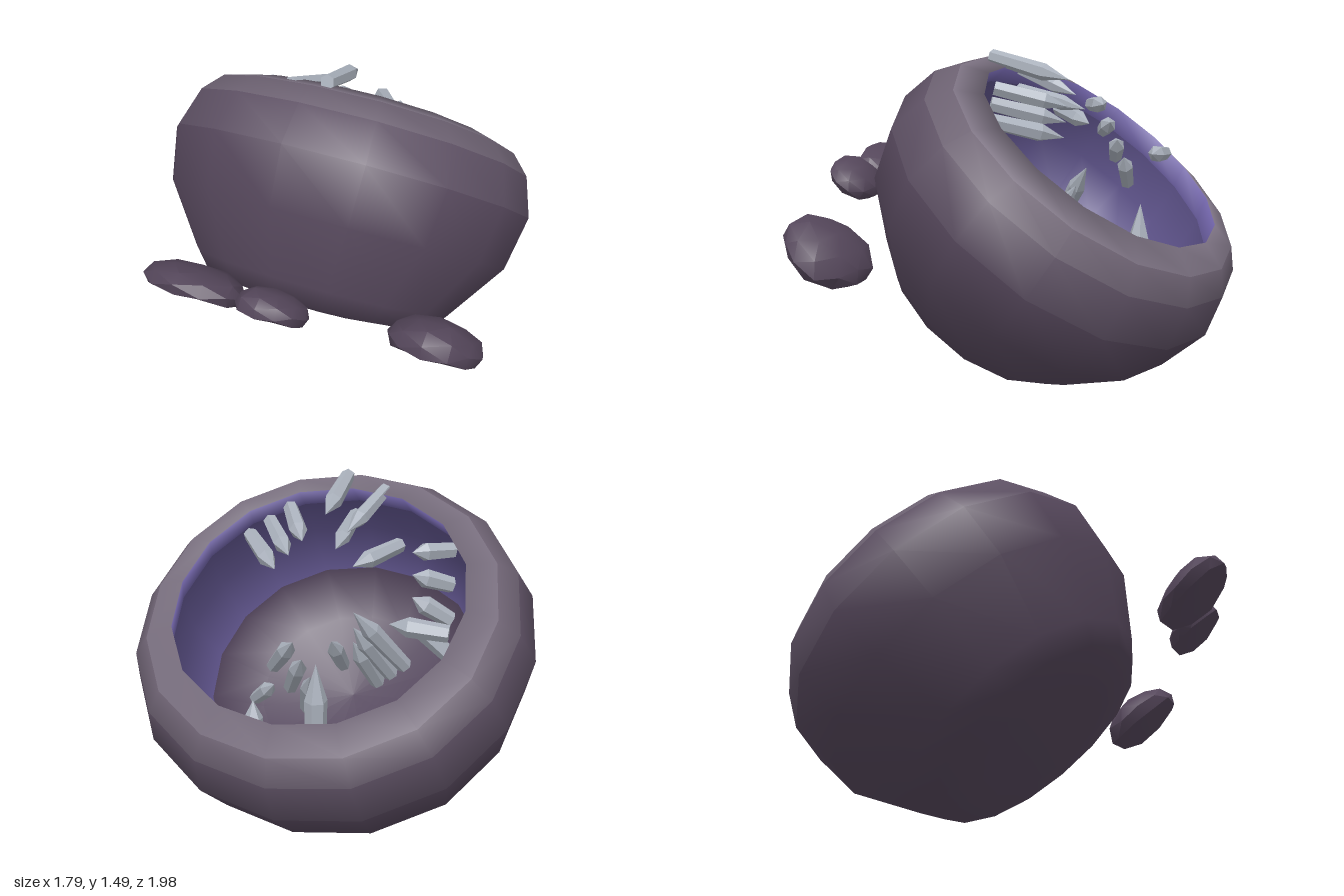
import * as THREE from 'three';
import { toCreasedNormals } from 'three/addons/utils/BufferGeometryUtils.js';

const mat = (color, extra = {}) => {
  const m = new THREE.MeshStandardMaterial(extra);
  m.color.set(color);
  return m;
};

// Bowl profile: outside from the flat bottom up to the rim, then down the hollow
const PROFILE = [
  [0, 0.13], [0.32, 0.13], [0.54, 0.165], [0.61, 0.25], [0.8, 0.53], [0.845, 0.78],
  [0.79, 0.96], [0.71, 1.05], [0.59, 1.09],
  [0.63, 0.97], [0.67, 0.74], [0.61, 0.5], [0.42, 0.33], [0, 0.27],
].map(([r, y]) => new THREE.Vector2(r, y));

function bowlPart(name, from, to, material) {
  // Keep only profile bands from..to, so shading runs on smoothly between parts
  const geo = new THREE.LatheGeometry(PROFILE, 16);
  const bands = PROFILE.length - 1;
  const kept = Array.from(geo.index.array).filter((_, n) => {
    const band = Math.floor(n / 6) % bands;
    return band >= from && band < to;
  });
  geo.setIndex(kept);
  // Slightly uneven wall
  const p = geo.attributes.position;
  for (let i = 0; i < p.count; i++) {
    const a = Math.atan2(p.getX(i), p.getZ(i));
    const k = 1 + 0.012 * Math.sin(3 * a + 0.5) * Math.sin(a);
    p.setX(i, p.getX(i) * k);
    p.setZ(i, p.getZ(i) * k);
  }
  geo.scale(1.045, 1, 1);
  const mesh = new THREE.Mesh(geo, material);
  mesh.name = name;
  mesh.position.set(-0.015, 0, 0.268);
  return mesh;
}

// Six-sided prism with a pointed tip, from base to tip
function crystal(base, tip, r, material) {
  const dir = tip.clone().sub(base), len = dir.length();
  const pts = [[0, 0], [r * 0.85, 0], [r, len * 0.68], [0, len]]
    .map(([x, y]) => new THREE.Vector2(x, y));
  const mesh = new THREE.Mesh(new THREE.LatheGeometry(pts, 6), material);
  mesh.name = 'crystal';
  mesh.position.copy(base);
  mesh.quaternion.setFromUnitVectors(new THREE.Vector3(0, 1, 0), dir.normalize());
  return mesh;
}

// Row of crystals fanning evenly from a first to a last one
function crystalRow(name, count, r, material, ...ends) {
  const [base0, tip0, base1, tip1] = ends.map((e) => new THREE.Vector3(...e));
  const row = new THREE.Group();
  row.name = name;
  for (let i = 0; i < count; i++) {
    const t = i / (count - 1);
    row.add(crystal(base0.clone().lerp(base1, t), tip0.clone().lerp(tip1, t), r, material));
  }
  return row;
}

// Flattened rock fragment resting on the bowl's base plane
function rock(x, z, rx, h, rz, seed, material) {
  const geo = new THREE.IcosahedronGeometry(1, 1);
  const p = geo.attributes.position;
  for (let i = 0; i < p.count; i++) {
    const X = p.getX(i), Y = p.getY(i), Z = p.getZ(i);
    const k = 1 + 0.07 * Math.sin(X * 4 + seed) * Math.cos(Z * 3 + seed * 2);
    p.setXYZ(i, X * k * rx, Math.max(Y * k, -0.45) * h, Z * k * rz);
  }
  const mesh = new THREE.Mesh(toCreasedNormals(geo, 0.6), material);
  mesh.name = 'rockFragment';
  mesh.position.set(x, 0.125 + 0.45 * h, z);
  return mesh;
}

export function createModel() {
  const model = new THREE.Group();
  model.name = 'geode';
  const stone = mat(0x54465a);
  const crystalMat = mat(0xaab1bc, { flatShading: true });

  // Bowl and fragments share one tilted frame
  const tilted = new THREE.Group();
  tilted.name = 'tiltedStone';
  tilted.rotation.x = -0.647;
  model.add(tilted);
  tilted.add(
    bowlPart('outerShell', 0, 5, stone),
    bowlPart('shoulder', 5, 6, mat(0x5d5063)),
    bowlPart('outerRim', 6, 7, mat(0x6b6070)),
    bowlPart('rim', 7, 8, mat(0x7a7080)),
    bowlPart('rimLining', 8, 9, mat(0x6d60a4)),
    bowlPart('innerWall', 9, 11, mat(0x5f548c)),
    bowlPart('innerFloor', 11, 13, mat(0x51435a)),
    rock(-0.175, 1.175, 0.21, 0.085, 0.185, 1, stone),
    rock(0.145, 1.16, 0.15, 0.08, 0.14, 2.4, stone),
    rock(0.7, 0.78, 0.2, 0.11, 0.205, 4, stone),
  );

  // Crystals growing in rows
  model.add(
    crystalRow('frontRimCrystals', 3, 0.039, crystalMat,
      [0.25, 1.3, -0.05], [0.09, 1.22, -0.32], [0.42, 1.18, -0.12], [0.2, 1.1, -0.36]),
    crystalRow('frontWallCrystals', 3, 0.042, crystalMat,
      [-0.3, 0.62, -0.08], [-0.13, 0.93, -0.31], [-0.16, 0.5, -0.03], [-0.1, 0.76, -0.22]),
    crystalRow('floorCrystals', 3, 0.041, crystalMat,
      [0.3, 0.58, -0.18], [0.12, 0.79, -0.38], [0.16, 0.36, -0.12], [0.05, 0.63, -0.36]),
    crystalRow('leftWallCrystals', 4, 0.04, crystalMat,
      [-0.51, 1.19, -0.15], [-0.37, 1.2, -0.28], [-0.55, 0.8, -0.34], [-0.4, 0.95, -0.38]),
  );

  // Single crystals: base, tip, radius
  const singles = new THREE.Group();
  singles.name = 'singleCrystals';
  [
    [[0.03, 1.43, 0.1], [0.0, 1.33, -0.28], 0.038],
    [[-0.15, 1.38, 0.08], [-0.09, 1.26, -0.27], 0.036],
    [[-0.04, 1.28, 0.0], [-0.06, 1.2, -0.33], 0.034],
    [[-0.27, 1.18, -0.09], [-0.13, 1.13, -0.32], 0.038],
    [[0.02, 0.55, 0.0], [0.0, 0.75, -0.22], 0.038],
    [[0.4, 0.4, -0.18], [0.24, 0.55, -0.32], 0.036],
    [[-0.58, 0.96, -0.52], [-0.35, 0.98, -0.54], 0.04],
    [[-0.06, 0.3, -0.59], [-0.07, 0.8, -0.6], 0.048],
    [[0.24, 0.32, -0.55], [0.24, 0.57, -0.54], 0.042],
  ].forEach(([b, t, r]) =>
    singles.add(crystal(new THREE.Vector3(...b), new THREE.Vector3(...t), r, crystalMat)));
  model.add(singles);

  return model;
}
